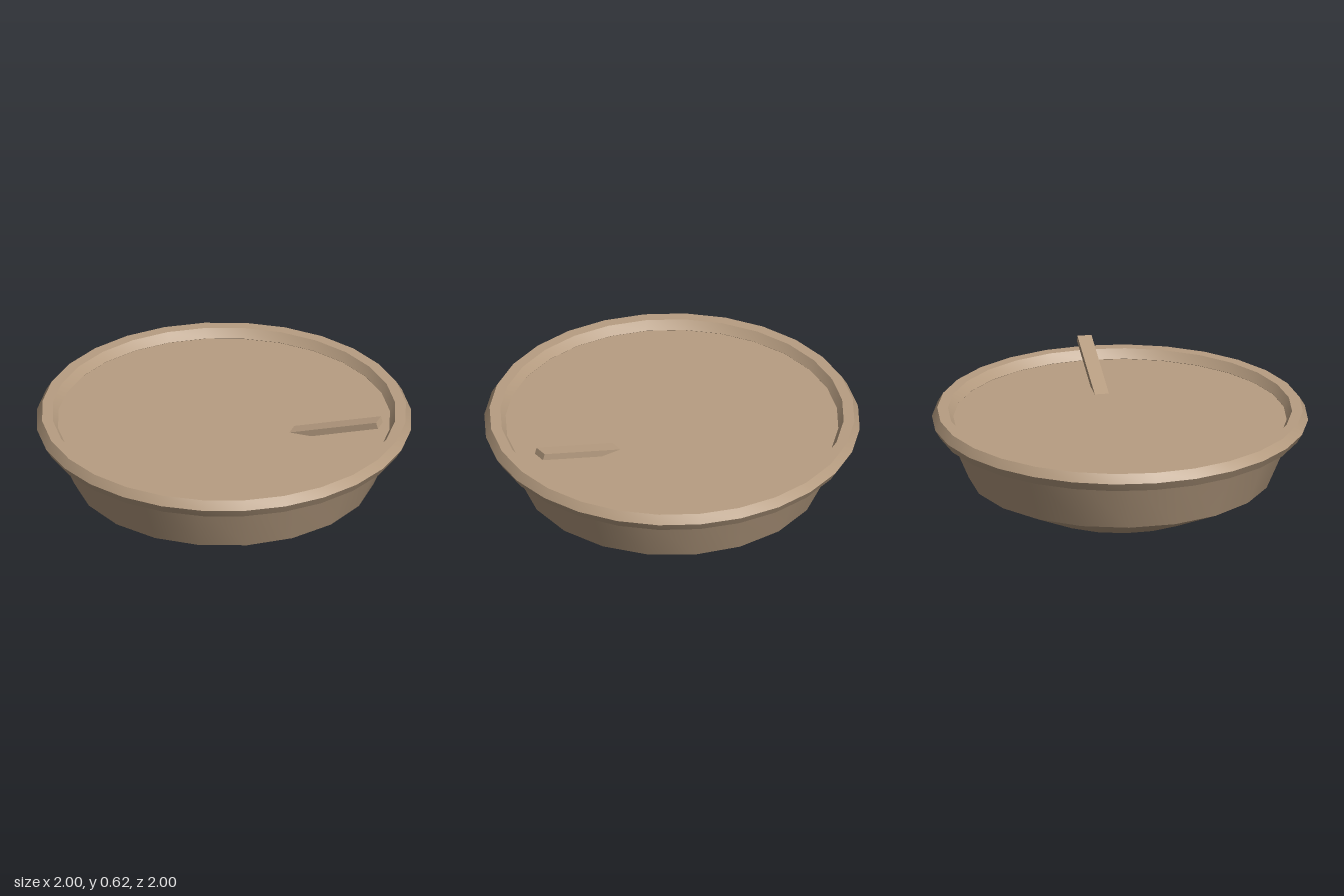
import * as THREE from 'three';
import { toCreasedNormals } from 'three/addons/utils/BufferGeometryUtils.js';

export function createModel() {
  const model = new THREE.Group();
  model.name = 'bowl';
  const wood = new THREE.MeshStandardMaterial({ color: 0xb89e82 });
  wood.name = 'wood';

  const add = (name, geometry) => {
    const mesh = new THREE.Mesh(geometry, wood);
    mesh.name = name;
    model.add(mesh);
    return mesh;
  };
  // Turned part: smooth around, sharp at steep profile corners
  const turned = (points, sides) => toCreasedNormals(
    new THREE.LatheGeometry(points.map(([r, y]) => new THREE.Vector2(r, y)), sides), 0.5);

  // Body with flat base, sloped foot and flared wall
  add('body', turned([[0, 0], [0.477, 0], [0.805, 0.155], [0.94, 0.475]], 20));

  // Hexagonal rim ring
  const ringRadius = 0.943, tube = 0.057, rimY = 0.475;
  const hexagon = [];
  for (let i = 0; i <= 6; i++) {
    const a = (i * Math.PI) / 3;
    hexagon.push([ringRadius + tube * Math.cos(a), rimY + 0.85 * tube * Math.sin(a) / Math.sin(Math.PI / 3)]);
  }
  add('rim', turned(hexagon, 28));

  // Filling level with the middle of the rim
  const filling = add('filling', new THREE.CircleGeometry(0.92, 28));
  filling.rotation.x = -Math.PI / 2;
  filling.position.y = 0.473;

  // Spoon handle rising out of the filling towards the rim
  const handleGeometry = new THREE.BoxGeometry(0.6, 0.036, 0.076);
  handleGeometry.translate(-0.3, 0, 0);
  const handle = add('spoonHandle', handleGeometry);
  handle.rotation.set(0, 0.445, 0.3, 'YXZ');
  handle.position.set(0.772, 0.607, -0.397);

  return model;
}
